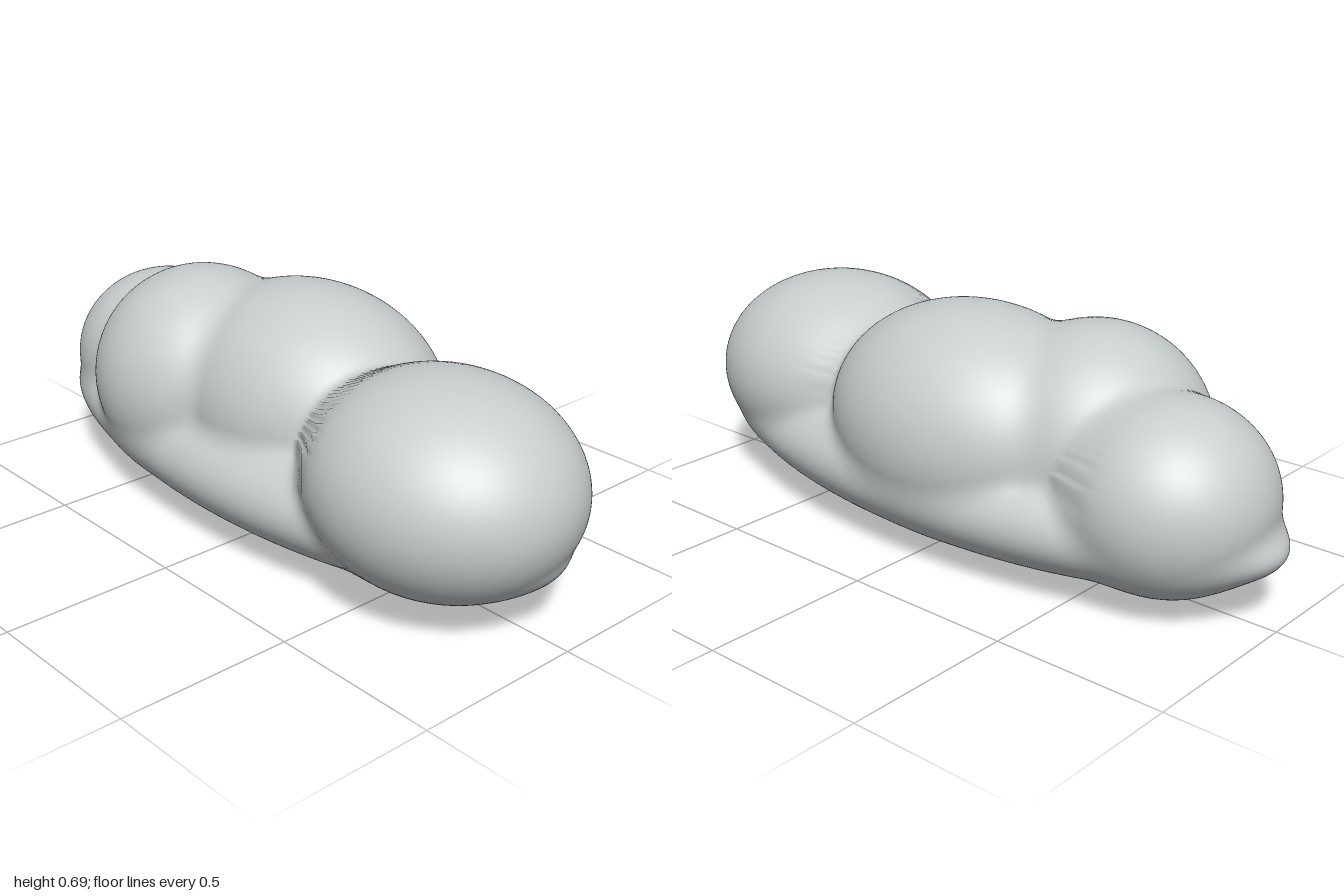
import * as THREE from 'three';
import { mergeVertices } from 'three/addons/utils/BufferGeometryUtils.js';

// Cloud lobes: centre and radii of each ellipsoid
const lobes = [
  { c: [-0.03, 0.2, 0], r: [0.97, 0.2, 0.37] }, // shallow base
  { c: [0.6, 0.34, 0.05], r: [0.395, 0.295, 0.35] }, // left puff (+x)
  { c: [-0.03, 0.35, -0.05], r: [0.45, 0.335, 0.35] }, // middle puff
  { c: [-0.37, 0.35, 0.06], r: [0.33, 0.325, 0.325] }, // forward puff
  { c: [-0.68, 0.3, -0.04], r: [0.295, 0.267, 0.283] }, // right puff (-x)
];
const BLEND = 0.035;

// Approximate signed distance to one ellipsoid
function ellipsoid(p, { c, r }) {
  const d = [p.x - c[0], p.y - c[1], p.z - c[2]];
  const k0 = Math.hypot(d[0] / r[0], d[1] / r[1], d[2] / r[2]);
  const k1 = Math.hypot(d[0] / r[0] ** 2, d[1] / r[1] ** 2, d[2] / r[2] ** 2);
  return k1 < 1e-6 ? -Math.min(...r) : (k0 * (k0 - 1)) / k1;
}

// Smoothly joined lobes
function cloud(p) {
  return lobes.map((l) => ellipsoid(p, l)).reduce((a, b) => {
    const h = Math.max(BLEND - Math.abs(a - b), 0) / BLEND;
    return Math.min(a, b) - h * h * BLEND * 0.25;
  });
}

function cloudGeometry() {
  let geo = new THREE.IcosahedronGeometry(1, 44);
  geo.deleteAttribute('normal');
  geo.deleteAttribute('uv');
  geo = mergeVertices(geo, 1e-5);
  const pos = geo.attributes.position;
  const centre = new THREE.Vector3(0, 0.3, 0);
  const dir = new THREE.Vector3();
  const p = new THREE.Vector3();
  const at = (t) => cloud(p.copy(centre).addScaledVector(dir, t));
  // Move each vertex along its ray onto the joined surface
  for (let i = 0; i < pos.count; i++) {
    dir.fromBufferAttribute(pos, i).multiply(new THREE.Vector3(1, 0.38, 0.42));
    let hi = 1.6;
    while (hi > 0.1 && at(hi - 0.02) > 0) hi -= 0.02;
    let lo = hi - 0.02;
    for (let n = 0; n < 14; n++) {
      const mid = (lo + hi) / 2;
      if (at(mid) > 0) hi = mid;
      else lo = mid;
    }
    p.copy(centre).addScaledVector(dir, lo);
    pos.setXYZ(i, p.x, p.y, p.z);
  }
  geo.computeBoundingBox();
  geo.translate(0, -geo.boundingBox.min.y, 0);
  geo.computeVertexNormals();
  return geo;
}

export function createModel() {
  const group = new THREE.Group();
  group.name = 'cloudModel';
  const cloudGrey = new THREE.MeshStandardMaterial({ color: 0xc8cdce });
  cloudGrey.name = 'cloud grey';
  const mesh = new THREE.Mesh(cloudGeometry(), cloudGrey);
  mesh.name = 'cloud';
  group.add(mesh);
  return group;
}
